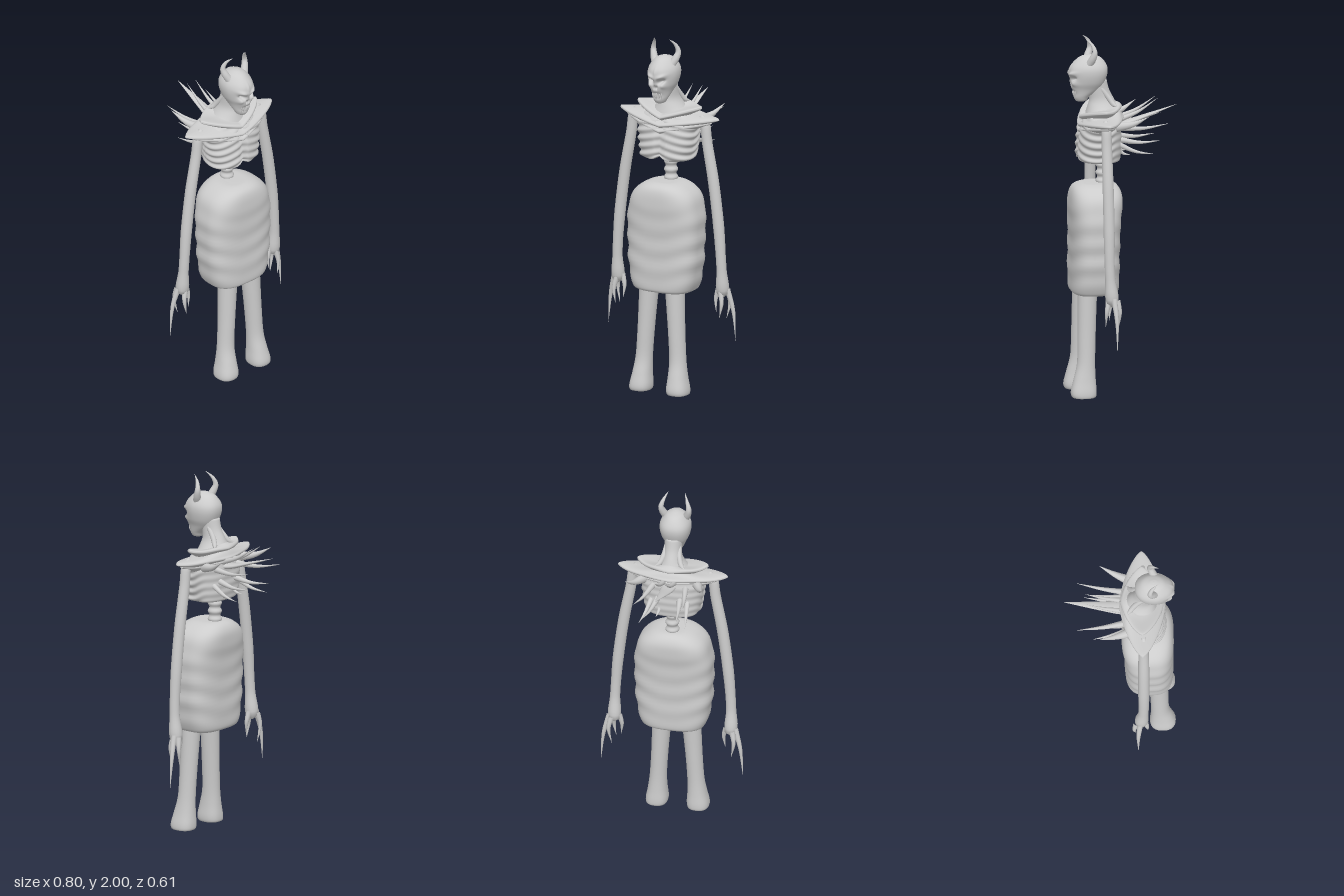
import * as THREE from 'three';
import { mergeVertices } from 'three/addons/utils/BufferGeometryUtils.js';

const bone = new THREE.MeshStandardMaterial({ color: 0xcccccc });
bone.name = 'pale grey';

const bump = (d, w) => Math.exp(-(d * d) / (w * w));
const signedPow = (v, e) => Math.sign(v) * Math.pow(Math.abs(v), e);

// Upright loft through rows of [y, half width, back z, front z, squareness]
function loft(rows, steps, sides, deform) {
  const curve = (f) => new THREE.CatmullRomCurve3(rows.map(f), false, 'catmullrom', 0.5);
  const a = curve((r) => new THREE.Vector3(r[0], r[1], r[4] ?? 2));
  const b = curve((r) => new THREE.Vector3(r[2], r[3], 0));
  const pos = [], index = [];
  const add = (x, y, z) => {
    const v = new THREE.Vector3(x, y, z);
    if (deform) deform(v);
    pos.push(v.x, v.y, v.z);
  };
  for (let i = 0; i <= steps; i++) {
    const { x: y, y: w, z: p } = a.getPoint(i / steps);
    const { x: zb, y: zf } = b.getPoint(i / steps);
    for (let j = 0; j < sides; j++) {
      const t = (j / sides) * Math.PI * 2;
      add(w * signedPow(Math.cos(t), 2 / p), y,
        (zb + zf) / 2 + ((zf - zb) / 2) * signedPow(Math.sin(t), 2 / p));
    }
  }
  for (let i = 0; i < steps; i++) {
    for (let j = 0; j < sides; j++) {
      const k = (j + 1) % sides, m = i * sides, n = m + sides;
      index.push(m + j, n + j, m + k, m + k, n + j, n + k);
    }
  }
  // end caps
  const first = rows[0], last = rows[rows.length - 1], c = (steps + 1) * sides;
  add(0, first[0], (first[2] + first[3]) / 2);
  add(0, last[0], (last[2] + last[3]) / 2);
  for (let j = 0; j < sides; j++) {
    const k = (j + 1) % sides, n = steps * sides;
    index.push(c, j, k, c + 1, n + k, n + j);
  }
  const g = new THREE.BufferGeometry();
  g.setAttribute('position', new THREE.Float32BufferAttribute(pos, 3));
  g.setIndex(index);
  g.computeVertexNormals();
  return g;
}

// Tapered tube through points of [x, y, z, radius], mirrored by side s, stretched in x
function limb(points, s = 1, seg = 20, sides = 12, stretch = 1) {
  const curve = new THREE.CatmullRomCurve3(points.map((p) => new THREE.Vector3(p[0] * s, p[1], p[2])));
  let g = new THREE.TubeGeometry(curve, seg, 1, sides);
  const pos = g.attributes.position, v = new THREE.Vector3();
  for (let i = 0; i <= seg; i++) {
    const c = curve.getPointAt(i / seg);
    const t = curve.getUtoTmapping(i / seg) * (points.length - 1);
    const k = Math.min(Math.floor(t), points.length - 2);
    const r = THREE.MathUtils.lerp(points[k][3], points[k + 1][3], t - k);
    for (let j = 0; j <= sides; j++) {
      const n = i * (sides + 1) + j;
      v.fromBufferAttribute(pos, n).sub(c).multiplyScalar(r);
      v.x *= stretch;
      v.add(c);
      pos.setXYZ(n, v.x, v.y, v.z);
    }
  }
  g.deleteAttribute('uv');
  g.deleteAttribute('normal');
  g = mergeVertices(g, 1e-5);
  g.computeVertexNormals();
  return g;
}

export function createModel() {
  const model = new THREE.Group();
  model.name = 'hornedSkeletalFigure';
  const add = (name, geometry) => {
    const mesh = new THREE.Mesh(geometry, bone);
    mesh.name = name;
    model.add(mesh);
    return mesh;
  };

  // Bulky wrapped lower body with soft folds
  add('lowerBody', loft([
    [0.572, 0.11, 0.08, 0.25, 3], [0.575, 0.165, 0.045, 0.285, 3], [0.61, 0.187, 0.032, 0.295, 3],
    [0.72, 0.208, 0.03, 0.295, 3], [0.85, 0.215, 0.028, 0.293, 3], [0.98, 0.217, 0.022, 0.295, 3],
    [1.06, 0.203, 0.012, 0.297, 3], [1.12, 0.18, 0.012, 0.292, 2.8], [1.16, 0.135, 0.03, 0.275, 2.6],
    [1.18, 0.085, 0.06, 0.24, 2.4], [1.183, 0.03, 0.1, 0.2, 2],
  ], 60, 56, (v) => {
    const f = 1 + 0.022 * Math.sin((v.y + 0.03 * Math.cos(v.x * 12)) * 54) * bump(v.y - 0.8, 0.22);
    v.x *= f;
    v.z = 0.16 + (v.z - 0.16) * f;
  }));

  // Spine with ringed vertebrae
  add('spine', loft([[1.15, 0.034, 0.075, 0.145], [1.34, 0.034, 0.075, 0.145]], 40, 20, (v) => {
    const f = 1 + 0.14 * Math.cos((v.y - 1.19) * Math.PI * 2 / 0.045);
    v.x *= f;
    v.z = 0.11 + (v.z - 0.11) * f;
  }));

  // Rib cage: drooping ribs, sternum groove and notched lower edge
  add('ribCage', loft([
    [1.312, 0.08, 0.06, 0.2, 2.6], [1.315, 0.145, 0.025, 0.25, 2.6], [1.36, 0.16, 0.015, 0.255, 2.6],
    [1.44, 0.172, 0.015, 0.25, 2.6], [1.52, 0.175, 0.02, 0.235, 2.6], [1.57, 0.13, 0.04, 0.2, 2.4],
  ], 72, 64, (v) => {
    const front = THREE.MathUtils.smoothstep(v.z, 0.05, 0.15);
    const wave = Math.sin((v.y + 0.25 * Math.abs(v.x) * front) * Math.PI * 2 / 0.045);
    const f = 1 + 0.035 * wave * (0.35 + 0.65 * front);
    v.x *= f;
    v.z = 0.13 + (v.z - 0.13) * f;
    v.z -= 0.012 * front * bump(v.x, 0.015);
    v.y += 0.022 * front * bump(v.x, 0.03) * bump(v.y - 1.31, 0.03);
  }));

  // Layered pointed shoulder plates, each dipping to a V at the front
  const plate = (name, w, y, rise, zb, zf, top) => add(name, loft([
    [y - 0.025, w * 0.6, zb + 0.04, zf - 0.04, 1.7], [y - 0.006, w * 0.96, zb + 0.005, zf - 0.005, 1.45],
    [y + 0.004, w, zb, zf, 1.45], [y + 0.014, w * 0.93, zb + 0.008, zf - 0.01, 1.5],
    [y + top * 0.6, w * 0.55, zb + 0.02, zf - 0.04, 1.7], [y + top, w * 0.25, zb + 0.04, zf - 0.07, 2],
  ], 36, 64, (v) => {
    const front = THREE.MathUtils.smoothstep(v.z, 0.02, 0.12);
    v.y += rise * (Math.min(Math.abs(v.x) / w, 1) - 1) * front;
  }));
  plate('lowerShoulderPlate', 0.265, 1.53, 0.055, 0.01, 0.252, 0.04);
  plate('wideShoulderPlate', 0.308, 1.552, 0.045, -0.002, 0.25, 0.055);
  plate('upperShoulderPlate', 0.2, 1.605, 0.055, 0.005, 0.242, 0.035);

  // Neck
  add('neck', loft([
    [1.56, 0.12, 0.01, 0.21], [1.61, 0.075, 0.03, 0.195], [1.65, 0.053, 0.05, 0.185],
    [1.7, 0.048, 0.075, 0.19], [1.76, 0.05, 0.09, 0.2],
  ], 24, 28));

  // Skull with sunken eyes, slanted brows, nose hollow and grooved mouth
  add('head', loft([
    [1.638, 0.012, 0.22, 0.25], [1.645, 0.03, 0.2, 0.262], [1.67, 0.044, 0.18, 0.278],
    [1.71, 0.058, 0.125, 0.288, 2.2], [1.75, 0.076, 0.1, 0.292, 2.3], [1.8, 0.086, 0.085, 0.297, 2.3],
    [1.84, 0.08, 0.09, 0.287, 2.2], [1.88, 0.052, 0.12, 0.25], [1.896, 0.022, 0.16, 0.215], [1.9, 0.003, 0.185, 0.19],
  ], 80, 88, (v) => {
    const ax = Math.abs(v.x), front = THREE.MathUtils.smoothstep(v.z, 0.19, 0.28);
    const slant = v.y - 0.3 * (ax - 0.035);
    v.z -= 0.034 * front * bump(ax - 0.036, 0.02) * bump(slant - 1.772, 0.012);
    v.z += 0.012 * front * bump(ax - 0.04, 0.028) * bump(slant - 1.798, 0.011);
    v.z += 0.012 * front * bump(ax - 0.05, 0.016) * bump(v.y - 1.745, 0.015);
    v.z -= 0.018 * front * bump(ax - 0.007, 0.007) * bump(v.y - 1.735, 0.012);
    v.z += 0.006 * front * bump(v.x, 0.006) * bump(v.y - 1.82, 0.03);
    v.z -= 0.016 * front * bump(ax, 0.036) * bump(v.y - 1.69, 0.022);
    v.x *= 1 - 0.12 * front;
  }));
  for (let i = -3; i <= 3; i++) {
    const x = i * 0.009, z = 0.277 - Math.abs(i) * 0.003;
    add('tooth', limb([[x, 1.718, z - 0.006, 0.002], [x, 1.69, z, 0.004], [x * 0.8, 1.657, z - 0.01, 0.001]], 1, 8, 6));
  }

  // Central back spike, broad and flat
  add('centreBackSpike', limb([[0, 1.5, 0.06, 0.016], [0, 1.51, -0.02, 0.014],
    [0, 1.55, -0.15, 0.008], [0, 1.6, -0.302, 0.0003]], 1, 20, 14, 2.7));

  // Paired back spikes: base, tip, base radius
  const spikes = [
    [[0.03, 1.53, 0.03], [0.03, 1.645, -0.19], 0.016],
    [[0.09, 1.5, 0.04], [0.137, 1.525, -0.235], 0.018],
    [[0.15, 1.52, 0.06], [0.216, 1.585, -0.11], 0.028],
    [[0.06, 1.43, 0.04], [0.092, 1.42, -0.195], 0.018],
    [[0.1, 1.41, 0.04], [0.13, 1.355, -0.15], 0.016],
    [[0.05, 1.38, 0.04], [0.06, 1.34, -0.035], 0.014],
  ];

  for (const s of [1, -1]) {
    const side = s > 0 ? 'left' : 'right';
    for (const [b, t, r] of spikes) {
      const mid = b.map((c, i) => (c + t[i]) / 2 - (i === 1 ? 0.014 : 0));
      add(side + 'BackSpike', limb([[...b, r], [...mid, r * 0.55], [...t, 0.0003]], s, 16, 10));
    }

    // Curved horn
    add(side + 'Horn', limb([[0.05, 1.85, 0.195, 0.022], [0.07, 1.89, 0.178, 0.02], [0.078, 1.925, 0.168, 0.015],
      [0.066, 1.965, 0.18, 0.009], [0.046, 2, 0.215, 0.0005]], s));

    // Neck tendon ending in a small point
    add(side + 'NeckTendon', limb([[0.035, 1.72, 0.13, 0.012], [0.045, 1.66, 0.085, 0.015],
      [0.062, 1.625, 0.06, 0.014], [0.085, 1.615, 0.04, 0.001]], s, 14, 10));

    // Arm, wrist and palm
    add(side + 'Arm', limb([[0.2, 1.565, 0.13, 0.012], [0.222, 1.53, 0.13, 0.028], [0.238, 1.42, 0.13, 0.029],
      [0.278, 1.2, 0.13, 0.031], [0.31, 0.95, 0.13, 0.031], [0.322, 0.8, 0.13, 0.028], [0.327, 0.7, 0.127, 0.028],
      [0.328, 0.62, 0.12, 0.037], [0.328, 0.575, 0.115, 0.036], [0.328, 0.55, 0.115, 0.004]], s, 44, 16));

    // Clawed fingers: knuckle, bend and tip
    const fingers = [
      [[0.352, 0.6, 0.11], [0.384, 0.48, 0.1], [0.4, 0.308, 0.1]],
      [[0.34, 0.59, 0.09], [0.352, 0.52, 0.078], [0.335, 0.425, 0.085]],
      [[0.325, 0.59, 0.135], [0.338, 0.52, 0.148], [0.326, 0.44, 0.152]],
      [[0.303, 0.6, 0.115], [0.287, 0.54, 0.12], [0.293, 0.465, 0.128]],
    ];
    for (const [k, m, t] of fingers) {
      add(side + 'Finger', limb([[...k, 0.017], [...m, 0.011], [...t, 0.0005]], s, 16, 10));
    }

    // Leg with flared foot, leaning outward towards the ground
    add(side + 'Leg', loft([
      [0, 0.045, 0.19, 0.285, 2.4], [0.005, 0.058, 0.17, 0.303, 2.4], [0.035, 0.061, 0.166, 0.307, 2.4],
      [0.1, 0.053, 0.17, 0.292, 2.2], [0.19, 0.047, 0.172, 0.272], [0.33, 0.047, 0.168, 0.268],
      [0.48, 0.051, 0.162, 0.266], [0.62, 0.056, 0.155, 0.265],
    ], 36, 28, (v) => { v.x += s * (0.117 - 0.062 * v.y); }));
  }
  return model;
}
